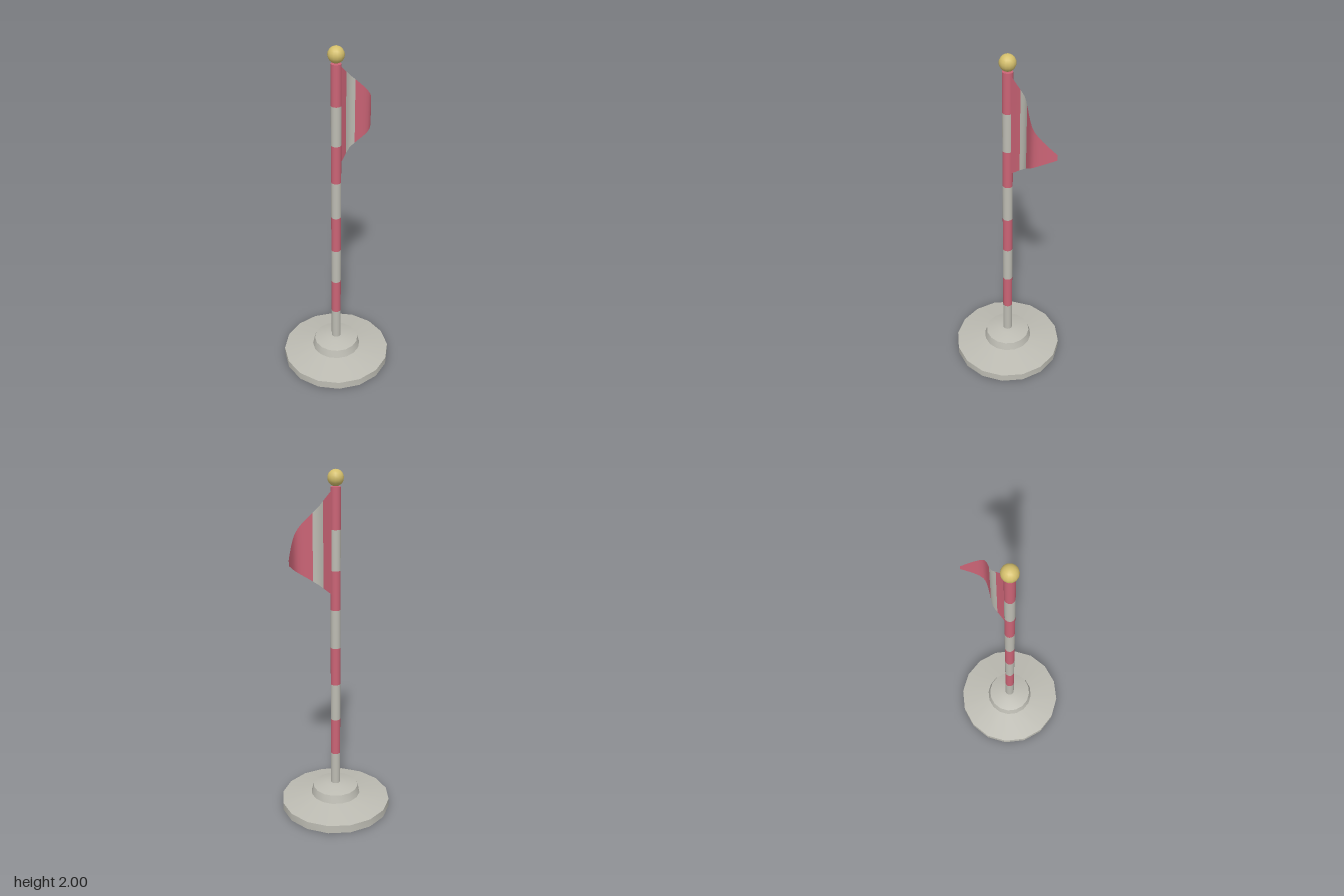
import * as THREE from 'three';
import { toCreasedNormals } from 'three/addons/utils/BufferGeometryUtils.js';

const paint = (name, color, side = THREE.FrontSide) => {
  const m = new THREE.MeshStandardMaterial({ color, side });
  m.name = name;
  return m;
};

export function createModel() {
  const group = new THREE.Group();
  const red = paint('red', 0xcb6476, THREE.DoubleSide);
  const stone = paint('pale grey', 0xbdbcb3, THREE.DoubleSide);
  const gold = paint('gold', 0xd4bf6c);
  const CX = -0.004;

  const add = (name, geometry, material, x = 0, y = 0) => {
    const mesh = new THREE.Mesh(geometry, material);
    mesh.name = name;
    mesh.position.set(x, y, 0);
    group.add(mesh);
  };

  // Stepped sixteen-sided foot
  const profile = [[0, 0], [0.327, 0], [0.327, 0.048], [0.147, 0.08], [0.134, 0.128], [0.058, 0.148], [0, 0.15]]
    .map(([r, y]) => new THREE.Vector2(r, y));
  add('base', toCreasedNormals(new THREE.LatheGeometry(profile, 16), 0.5), stone, CX);

  // Pole built from alternating bands, red at the top
  const top = 1.91, band = 0.223;
  for (let i = 0; i < 8; i++) {
    const geometry = new THREE.CylinderGeometry(0.028, 0.028, band, 16, 1, i > 0);
    add('poleBand' + (i + 1), geometry, i % 2 ? stone : red, CX, top - band * (i + 0.5));
  }

  // Ball on top
  add('finial', new THREE.SphereGeometry(0.044, 14, 10), gold, CX, 1.956);

  // Rippling pennant: a tapering sheet that follows a wave in z
  const wave = new THREE.SplineCurve([[0.015, 0], [0.06, -0.005], [0.115, -0.011], [0.15, 0.002],
    [0.205, 0.026], [0.24, 0.028], [0.28, 0.002], [0.33, -0.045]].map(p => new THREE.Vector2(...p)));
  const upper = t => 1.9 - 0.325 * t + 0.025 * Math.sin(Math.PI * t);
  const lower = t => 1.325 + 0.22 * t + 0.008 * Math.sin(Math.PI * t);
  const strip = (x0, x1, columns) => {
    const samples = wave.getPoints(100);
    const zAt = x => {
      const i = Math.max(1, samples.findIndex(p => p.x >= x - 1e-6));
      const a = samples[i - 1], b = samples[i];
      return a.y + (b.y - a.y) * (x - a.x) / (b.x - a.x);
    };
    const geometry = new THREE.PlaneGeometry(1, 1, columns, 6);
    const p = geometry.attributes.position;
    for (let i = 0; i < p.count; i++) {
      const x = x0 + (x1 - x0) * (p.getX(i) + 0.5);
      const t = (x - 0.015) / 0.315;
      p.setXYZ(i, x, THREE.MathUtils.lerp(lower(t), upper(t), p.getY(i) + 0.5), zAt(x));
    }
    geometry.computeVertexNormals();
    return geometry;
  };
  add('flagInner', strip(0.015, 0.085, 4), red);
  add('flagStripe', strip(0.085, 0.147, 4), stone);
  add('flagTip', strip(0.147, 0.33, 10), red);

  return group;
}
